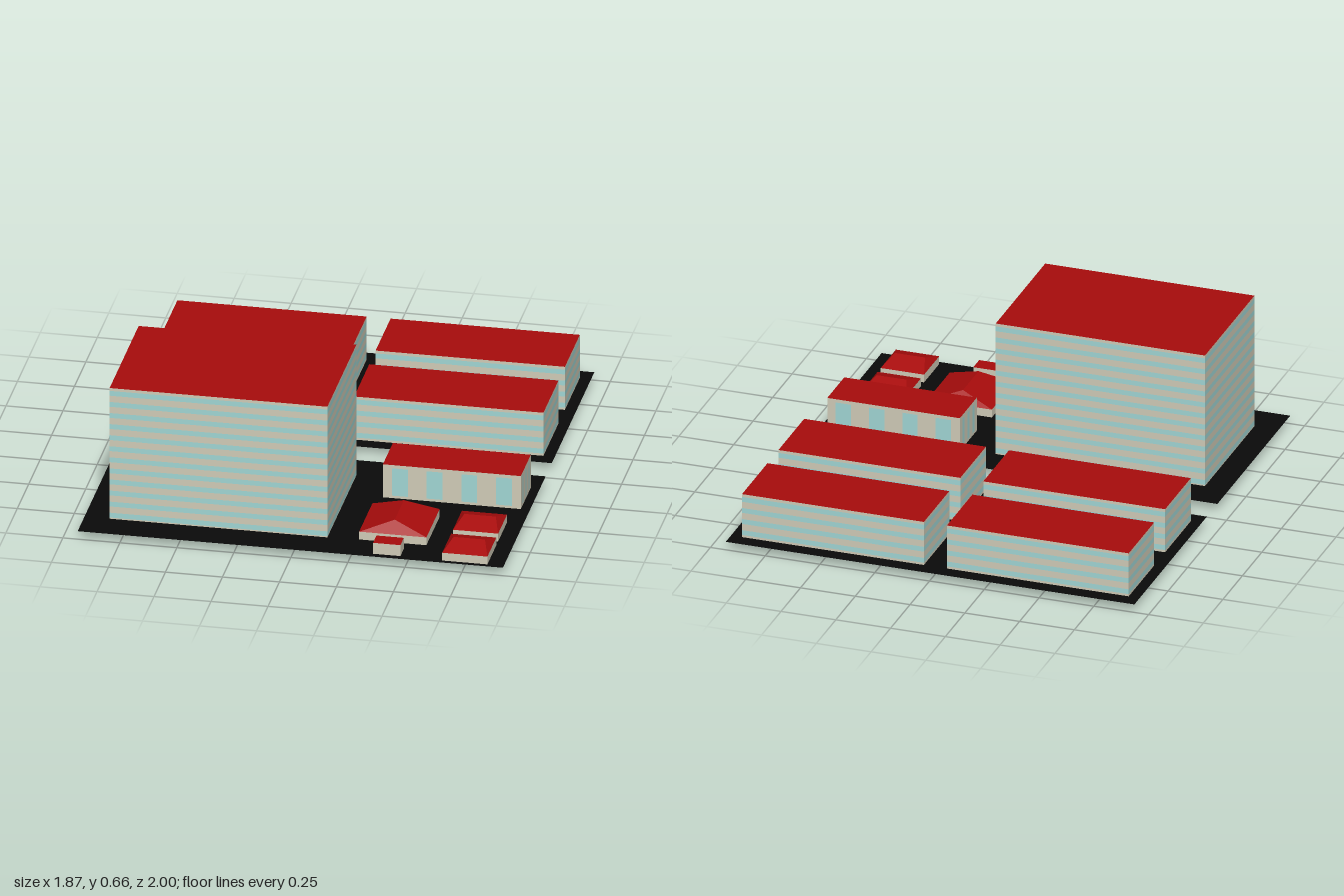
import * as THREE from 'three';

const mat = (color) => new THREE.MeshStandardMaterial({ color, flatShading: true, side: THREE.DoubleSide });
const GROUND = 0.038;

export function createModel() {
  const root = new THREE.Group();
  const wallMat = mat(0xd2cdb9), glassMat = mat(0xa2d8d6), roofMat = mat(0xa80c0c), plotMat = mat(0x0a0a0a);

  // open four-sided tube with unit sides
  const ring = new THREE.CylinderGeometry(Math.SQRT1_2, Math.SQRT1_2, 1, 4, 1, true).rotateY(Math.PI / 4);

  const add = (parent, name, geo, material) => {
    const m = new THREE.Mesh(geo, material);
    m.name = name;
    parent.add(m);
    return m;
  };
  const walls = (parent, name, [x0, x1, z0, z1], y0, y1, material) => {
    const m = add(parent, name, ring, material);
    m.scale.set(x1 - x0, y1 - y0, z1 - z0);
    m.position.set((x0 + x1) / 2, (y0 + y1) / 2, (z0 + z1) / 2);
  };
  const flat = (parent, name, [x0, x1, z0, z1], y, material) => {
    const m = add(parent, name, new THREE.PlaneGeometry(x1 - x0, z1 - z0).rotateX(-Math.PI / 2), material);
    m.position.set((x0 + x1) / 2, y, (z0 + z1) / 2);
  };
  const group = (name) => {
    const g = new THREE.Group();
    g.name = name;
    root.add(g);
    return g;
  };

  // flat-roofed block whose walls alternate masonry and window bands
  const bandedBlock = (name, rect, base, top, floors) => {
    const g = group(name);
    const pitch = 0.0527, band = 0.023;
    let y = base;
    for (let i = floors - 1; i >= 0; i--) {
      const mid = top - 0.025 - i * pitch;
      walls(g, 'wallBand', rect, y, mid - band / 2, wallMat);
      walls(g, 'windowBand', rect, mid - band / 2, mid + band / 2, glassMat);
      y = mid + band / 2;
    }
    walls(g, 'parapet', rect, y, top, wallMat);
    flat(g, 'flatRoof', rect, top, roofMat);
  };

  // hipped roof: box with its top edges drawn in to a ridge
  const hippedHouse = (name, rect, eave, ridge, alongX, inset) => {
    const g = group(name);
    const [x0, x1, z0, z1] = rect;
    walls(g, 'houseWalls', rect, GROUND, eave, wallMat);
    const w = x1 - x0, d = z1 - z0;
    const geo = new THREE.BoxGeometry(w, ridge - eave, d);
    const p = geo.attributes.position;
    for (let i = 0; i < p.count; i++) {
      if (p.getY(i) < 0) continue;
      p.setX(i, alongX ? Math.sign(p.getX(i)) * (w / 2 - inset) : 0);
      p.setZ(i, alongX ? 0 : Math.sign(p.getZ(i)) * (d / 2 - inset));
    }
    geo.computeVertexNormals();
    add(g, 'hippedRoof', geo, roofMat).position.set((x0 + x1) / 2, (eave + ridge) / 2, (z0 + z1) / 2);
  };

  // two paved plots
  flat(root, 'backPlot', [-0.935, 0.93, -1, -0.07], GROUND, plotMat);
  flat(root, 'frontPlot', [-0.935, 0.93, 0.065, 1], GROUND, plotMat);

  // tower, its footing reaching below the plot
  bandedBlock('tower', [-0.825, 0.13, 0.215, 0.85], 0, 0.66, 12);

  // four low blocks
  for (const [x0, x1] of [[-0.885, -0.055], [0.05, 0.88]])
    for (const [z0, z1] of [[-0.932, -0.605], [-0.465, -0.135]])
      bandedBlock('lowBlock', [x0, x1, z0, z1], GROUND, 0.243, 4);

  // middle block with upright window strips
  const hall = group('middleBlock');
  const hallRect = [0.285, 0.89, 0.19, 0.408];
  walls(hall, 'hallWalls', hallRect, GROUND, 0.195, wallMat);
  flat(hall, 'flatRoof', hallRect, 0.195, roofMat);
  const strip = (w, x, z, turn) => {
    const m = add(hall, 'windowStrip', new THREE.PlaneGeometry(w, 0.13), glassMat);
    m.position.set(x, 0.115, z);
    m.rotation.y = turn;
  };
  for (let i = 0; i < 4; i++) {
    const x = 0.36 + i * 0.152;
    strip(0.07, x, 0.409, 0);
    strip(0.07, x, 0.189, Math.PI);
  }
  for (let i = 0; i < 3; i++) {
    const z = 0.235 + i * 0.064;
    strip(0.024, 0.891, z, Math.PI / 2);
    strip(0.024, 0.284, z, -Math.PI / 2);
  }

  // houses and a small flat-roofed shed
  hippedHouse('largeHouse', [0.268, 0.563, 0.553, 0.843], 0.075, 0.125, false, 0.045);
  hippedHouse('smallHouse', [0.66, 0.858, 0.55, 0.745], 0.075, 0.108, true, 0.03);
  hippedHouse('smallHouse', [0.66, 0.858, 0.785, 0.98], 0.075, 0.108, true, 0.03);
  const shed = group('shed');
  const shedRect = [0.355, 0.475, 0.897, 0.972];
  walls(shed, 'shedWalls', shedRect, GROUND, 0.09, wallMat);
  flat(shed, 'flatRoof', shedRect, 0.09, roofMat);

  return root;
}
